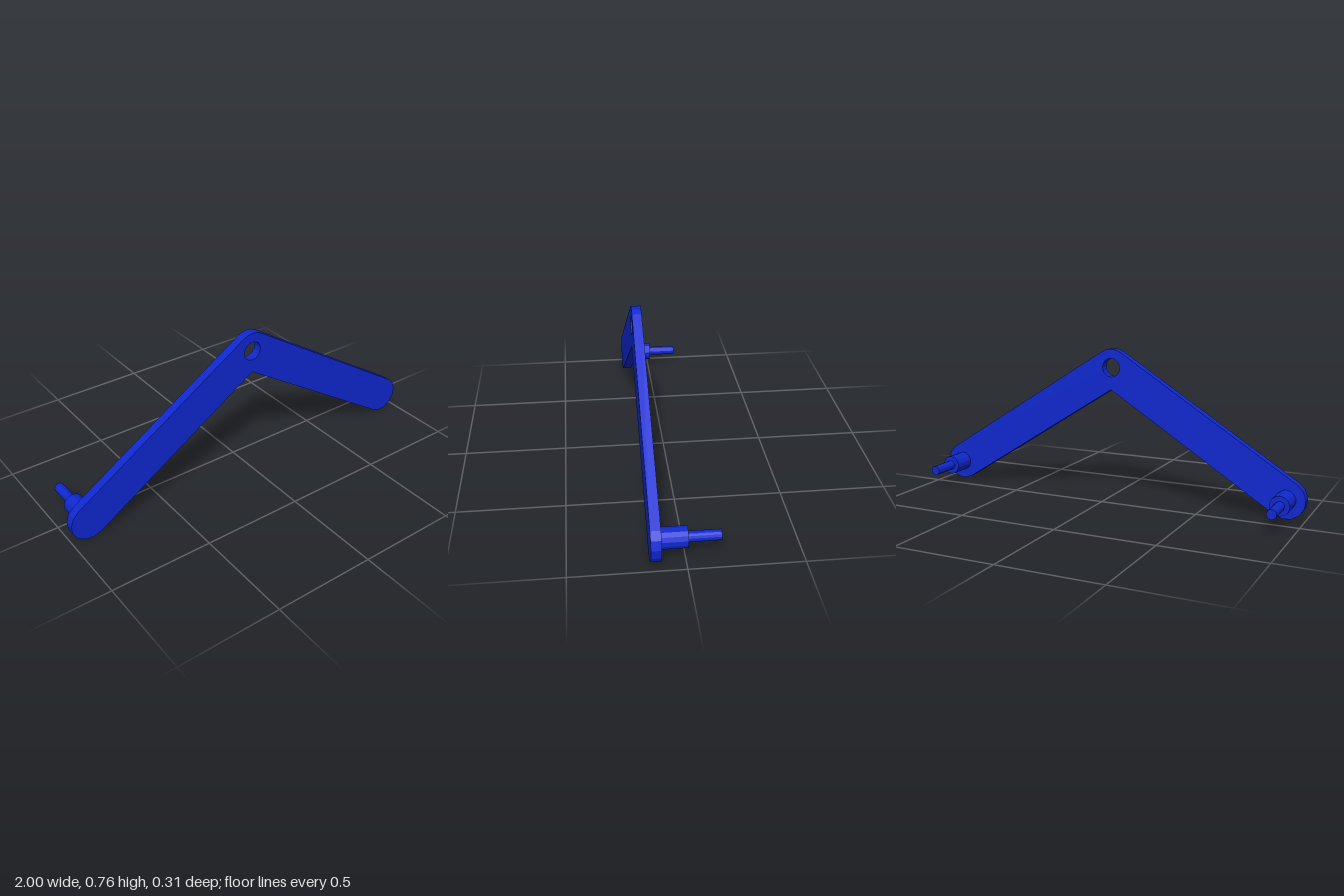
import * as THREE from 'three';

const material = new THREE.MeshStandardMaterial({ color: 0x0f28d0, flatShading: true });
const R = 0.094;                        // half width of the arms
const END = { x: 0.906, y: 0.094 };     // centre of each rounded arm end
const APEX = { x: 0, y: 0.667 };        // centre of the pivot hole
const BACK = 0.107, FRONT = 0.153;      // z faces of the plate

// Points along an arc, counter-clockwise from angle a to b
function arc(cx, cy, r, a, b, steps) {
  return Array.from({ length: steps + 1 }, (_, i) => {
    const t = a + (b - a) * i / steps;
    return new THREE.Vector2(cx + r * Math.cos(t), cy + r * Math.sin(t));
  });
}

// Bent two-armed plate with a pivot hole at the bend
function bentPlate() {
  const slope = Math.atan2(APEX.y - END.y, END.x);
  const up = Math.PI / 2 - slope;       // outward normal of the right arm
  const outline = [
    ...arc(END.x, END.y, R, up - Math.PI, up, 7),
    ...arc(APEX.x, APEX.y, R, up, Math.PI - up, 4),
    ...arc(-END.x, END.y, R, Math.PI - up, 2 * Math.PI - up, 7),
    new THREE.Vector2(0, APEX.y - R / Math.cos(slope)),
  ];
  const shape = new THREE.Shape(outline);
  shape.holes.push(new THREE.Path(arc(APEX.x, APEX.y, 0.047, 0, 2 * Math.PI, 16).slice(0, -1)));
  const geometry = new THREE.ExtrudeGeometry(shape, { depth: FRONT - BACK, bevelEnabled: false });
  geometry.translate(0, 0, BACK);
  const mesh = new THREE.Mesh(geometry, material);
  mesh.name = 'bentPlate';
  return mesh;
}

// Cylinder along z between two depths
function rod(name, r, z0, z1) {
  const geometry = new THREE.CylinderGeometry(r, r, z1 - z0, 14);
  geometry.rotateX(Math.PI / 2);
  const mesh = new THREE.Mesh(geometry, material);
  mesh.position.z = (z0 + z1) / 2;
  mesh.name = name;
  return mesh;
}

export function createModel() {
  const model = new THREE.Group();
  model.name = 'bentLink';
  model.add(bentPlate());

  // Stepped peg on the back of each arm end
  for (const [side, sign] of [['left', 1], ['right', -1]]) {
    const peg = new THREE.Group();
    peg.name = side + 'Peg';
    peg.position.set(sign * END.x, END.y + 0.002, 0);
    peg.add(rod('pegCollar', 0.048, -0.01, BACK), rod('pegPin', 0.024, -0.153, -0.01));
    model.add(peg);
  }
  return model;
}
